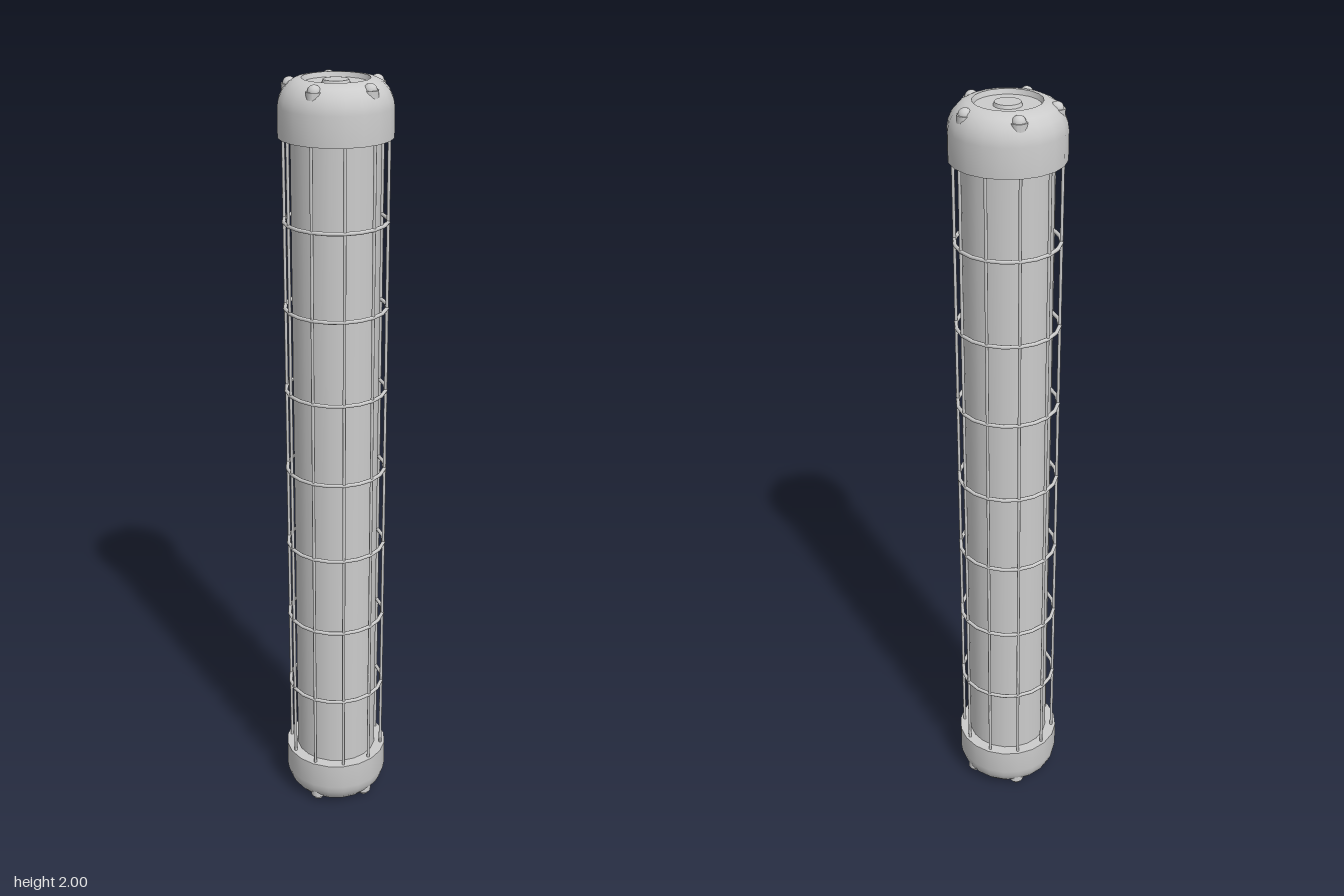
import * as THREE from 'three';
import { toCreasedNormals } from 'three/addons/utils/BufferGeometryUtils.js';

const SIDES = 20;

export function createModel() {
  const model = new THREE.Group();
  model.name = 'cagedTube';
  const material = new THREE.MeshStandardMaterial({ color: 0xcccccc });

  const add = (parent, name, geometry, x = 0, y = 0, z = 0) => {
    const mesh = new THREE.Mesh(geometry, material);
    mesh.name = name;
    mesh.position.set(x, y, z);
    parent.add(mesh);
    return mesh;
  };

  // Inner tube
  add(model, 'innerTube', new THREE.CylinderGeometry(0.11, 0.11, 1.76, SIDES, 1, true), 0, 1, 0);

  // Cage: ten upright rods and seven hoops
  const rodGeometry = new THREE.CylinderGeometry(0.004, 0.004, 1.76, 8);
  for (let i = 0; i < 10; i++) {
    const a = (i / 10) * Math.PI * 2;
    add(model, 'cageRod', rodGeometry, Math.sin(a) * 0.128, 1, Math.cos(a) * 0.128);
  }
  const hoopGeometry = new THREE.TorusGeometry(0.128, 0.005, 8, SIDES).rotateX(Math.PI / 2);
  for (let i = -3; i <= 3; i++) add(model, 'cageHoop', hoopGeometry, 0, 1.003 + i * 0.219, 0);

  // End cap: rounded shoulder, shallow dish and central button (heights from model centre)
  const capProfile = [
    [0.1, 0.863], [0.14, 0.863], [0.14, 0.935], [0.137, 0.953], [0.128, 0.973],
    [0.113, 0.99], [0.097, 0.998], [0.082, 1.0], [0.078, 0.988],
    [0.034, 0.988], [0.031, 0.996], [0, 0.996],
  ].map(([r, y]) => new THREE.Vector2(r, y));
  const capGeometry = toCreasedNormals(new THREE.LatheGeometry(capProfile, SIDES), 0.6);

  // Bolt: short collar topped by a dome
  const collarGeometry = toCreasedNormals(new THREE.CylinderGeometry(0.02, 0.02, 0.045, 16), 0.6);
  const domeGeometry = new THREE.SphereGeometry(0.0165, 16, 8, 0, Math.PI * 2, 0, Math.PI / 2);

  const makeCap = (name) => {
    const cap = new THREE.Group();
    cap.name = name;
    add(cap, 'capShell', capGeometry);
    for (let i = 0; i < 5; i++) {
      const a = Math.PI + (i / 5) * Math.PI * 2;
      const x = Math.sin(a) * 0.111, z = Math.cos(a) * 0.111;
      add(cap, 'boltCollar', collarGeometry, x, 0.9615, z);
      add(cap, 'boltDome', domeGeometry, x, 0.983, z);
    }
    cap.position.y = 1;
    model.add(cap);
    return cap;
  };

  makeCap('topCap');
  makeCap('bottomCap').rotation.z = Math.PI;

  return model;
}
